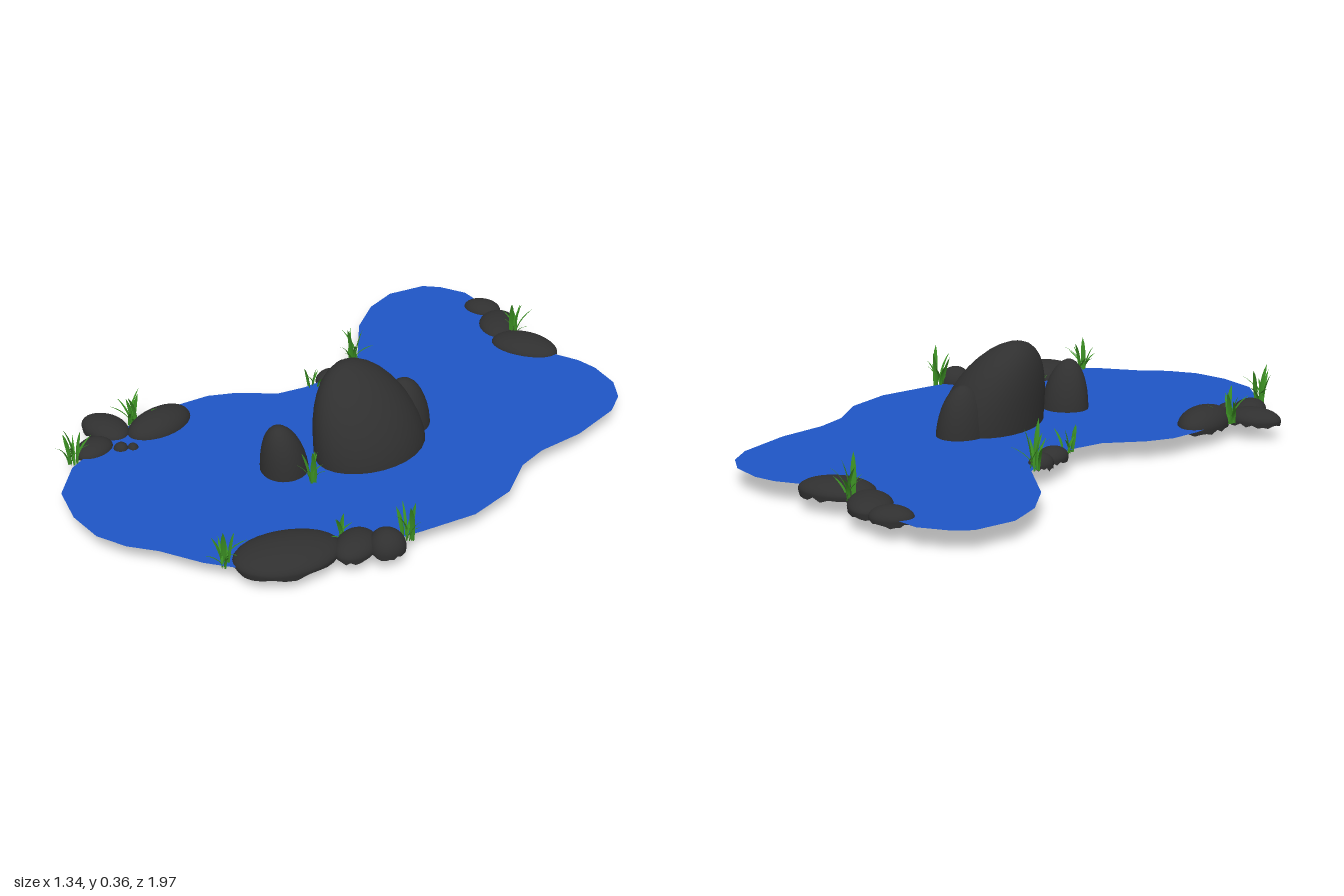
import * as THREE from 'three';
import { mergeGeometries, mergeVertices } from 'three/addons/utils/BufferGeometryUtils.js';

const WATER_Y = 0.07;
const stone = new THREE.MeshStandardMaterial({ color: 0x303030, side: THREE.DoubleSide });
const leaf = new THREE.MeshStandardMaterial({ color: 0x3a8c22, side: THREE.DoubleSide });
const blue = new THREE.MeshStandardMaterial({ color: 0x1f55c4, side: THREE.DoubleSide });

function seeded(seed) {
  let s = seed * 7919 + 17;
  return () => (s = (s * 16807) % 2147483647) / 2147483647;
}

// Open dome with a ragged lower rim; its peak leans by (leanX, leanZ)
function rock(name, [x, z, rx, rz, turn, top, leanX = 0, leanZ = 0], seed, base = 0.065, rim = 0.02) {
  const rand = seeded(seed), sides = 28, rings = 10;
  const profile = [new THREE.Vector2(0.97, -1)];
  for (let i = 0; i <= rings; i++) {
    const a = (i / rings) * Math.PI / 2;
    profile.push(new THREE.Vector2(i === rings ? 0 : Math.cos(a), Math.sin(a)));
  }
  const jag = Array.from({ length: sides }, () => rim * (0.25 + 0.75 * rand()));
  const lathe = new THREE.LatheGeometry(profile, sides);
  lathe.deleteAttribute('uv');
  lathe.deleteAttribute('normal');
  const p = lathe.attributes.position, c = Math.cos(turn), s = Math.sin(turn);
  const phase = rand() * 6;
  for (let i = 0; i < p.count; i++) {
    const h = p.getY(i), a = Math.atan2(p.getX(i), p.getZ(i));
    const lump = 1 + 0.02 * Math.sin(3 * a + phase);
    const u = p.getX(i) * rx * lump, v = p.getZ(i) * rz * lump;
    const lean = Math.pow(Math.max(h, 0), 1.5);
    const column = Math.floor(i / profile.length) % sides;
    p.setXYZ(i, x + u * c + v * s + leanX * lean,
      h < 0 ? base - jag[column] : base + h * (top - base),
      z - u * s + v * c + leanZ * lean);
  }
  const geometry = mergeVertices(lathe, 1e-5);
  geometry.computeVertexNormals();
  const mesh = new THREE.Mesh(geometry, stone);
  mesh.name = name;
  return mesh;
}

// One tapering, folded blade that bends outwards
function blade(height, reach, width, heading) {
  const g = new THREE.PlaneGeometry(1, 1, 2, 6);
  const p = g.attributes.position;
  for (let i = 0; i < p.count; i++) {
    const t = p.getY(i) + 0.5, side = p.getX(i) * 2;
    const w = width * (0.55 + 1.5 * t) * (1 - t * t);
    p.setXYZ(i, side * w, height * (t - 0.12 * t * t * t) / 0.88,
      reach * t * t + Math.abs(side) * w * 0.4);
  }
  g.rotateY(heading);
  g.computeVertexNormals();
  return g;
}

function grassTuft([x, z, top, spread, count], seed) {
  const rand = seeded(seed + 40), blades = [];
  for (let i = 0; i < count; i++) {
    const tall = i < 3;
    const height = (top - 0.06) * (tall ? 1 - 0.12 * i : 0.4 + 0.4 * rand());
    const reach = spread * (tall ? 0.2 + 0.3 * rand() : 0.6 + 0.4 * rand());
    const g = blade(height, reach, tall ? 0.009 : 0.005, i * 2.4 + rand());
    g.translate((rand() - 0.5) * 0.03, 0, (rand() - 0.5) * 0.03);
    blades.push(g);
  }
  const mesh = new THREE.Mesh(mergeGeometries(blades), leaf);
  mesh.position.set(x, 0.06, z);
  mesh.name = 'grassTuft';
  return mesh;
}

function createWater() {
  const shore = [
    [-.39, -.94], [-.52, -.94], [-.61, -.89], [-.656, -.84], [-.68, -.7], [-.64, -.58], [-.55, -.46],
    [-.38, -.33], [-.34, -.24], [-.31, -.13], [-.31, -.05], [-.33, .05], [-.42, .17], [-.46, .26],
    [-.47, .37], [-.45, .62], [-.34, .86], [-.23, .96], [-.09, .99], [.04, .98], [.14, .93],
    [.22, .86], [.35, .78], [.43, .71], [.51, .56], [.57, .37], [.61, .13], [.635, -.06], [.6, -.23],
    [.51, -.36], [.48, -.47], [.476, -.64], [.43, -.83], [.376, -.91], [.296, -.96], [.185, -.974],
    [.11, -.96], [.03, -.92], [-.18, -.87],
  ];
  const shape = new THREE.Shape(shore.map(([x, z]) => new THREE.Vector2(x, -z)));
  const mesh = new THREE.Mesh(new THREE.ShapeGeometry(shape).rotateX(-Math.PI / 2), blue);
  mesh.position.y = WATER_Y;
  mesh.name = 'water';
  return mesh;
}

export function createModel() {
  const group = new THREE.Group();
  group.name = 'pond';
  group.add(createWater());

  // Tall rocks standing in the water: x, z, rx, rz, turn, top, lean
  const islands = [
    [.11, -.03, .163, .215, .2, .36, -.08, .04],
    [.075, -.2, .085, .092, 0, .24, -.01, 0],
    [.065, .29, .085, .08, 0, .24, 0, .02],
  ];
  islands.forEach((r, i) => group.add(rock('islandRock', r, i + 1, 0.05, i ? 0.035 : 0.05)));

  // Low rocks along the shore
  const shoreRocks = [
    [-.39, -.92, .07, .055, .5, .1], [-.26, -.89, .1, .07, -.7, .1], [-.085, -.87, .125, .08, .5, .107],
    [-.335, -.24, .037, .045, 0, .1], [-.31, -.16, .047, .055, 0, .1],
    [-.4, .49, .075, .125, .15, .125], [-.49, .65, .097, .065, .25, .105], [-.4, .745, .055, .07, .3, .1],
    [-.35, .67, .025, .025, 0, .09], [-.33, .635, .02, .018, 0, .085],
    [.6, .265, .06, .06, 0, .125], [.545, .345, .065, .085, .4, .11], [.46, .545, .11, .175, -.3, .12],
  ];
  shoreRocks.forEach((r, i) => group.add(rock('shoreRock', r, i + 10)));

  // Grass: x, z, top, spread, blade count
  const tufts = [
    [-.17, -.9, .205, .08, 8], [-.36, -.3, .22, .09, 9], [-.3, -.08, .15, .05, 6],
    [.18, .27, .205, .07, 7], [-.46, .56, .19, .09, 10], [-.37, .84, .2, .08, 9],
    [.61, .19, .21, .075, 8], [.48, .36, .15, .06, 7], [.39, .73, .19, .09, 9],
  ];
  tufts.forEach((t, i) => group.add(grassTuft(t, i + 1)));
  return group;
}
